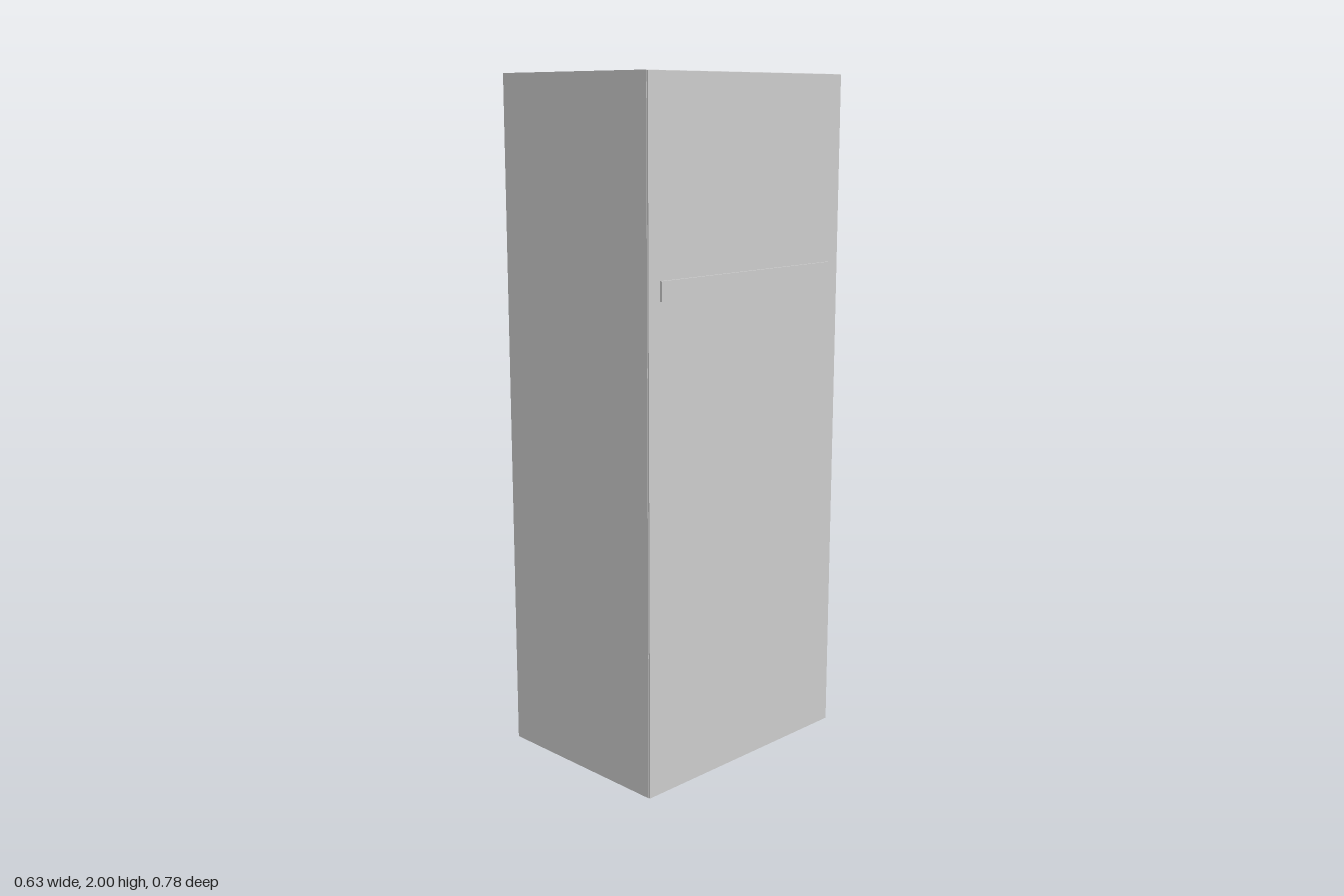
import * as THREE from 'three';

const grey = new THREE.MeshStandardMaterial({ color: 0xcccccc });
const FRONT = -0.283, BACK = 0.305, DOOR = -0.266; // planes across x

function add(parent, name, geometry) {
  const mesh = new THREE.Mesh(geometry, grey);
  mesh.name = name;
  parent.add(mesh);
  return mesh;
}

function box(parent, name, x0, x1, y0, y1, z0, z1) {
  const mesh = add(parent, name, new THREE.BoxGeometry(x1 - x0, y1 - y0, z1 - z0));
  mesh.position.set((x0 + x1) / 2, (y0 + y1) / 2, (z0 + z1) / 2);
  return mesh;
}

function rectangle(target, halfWidth, y0, y1) {
  target.moveTo(-halfWidth, y0);
  target.lineTo(halfWidth, y0);
  target.lineTo(halfWidth, y1);
  target.lineTo(-halfWidth, y1);
  target.closePath();
  return target;
}

export function createModel() {
  const locker = new THREE.Group();
  locker.name = 'locker';

  // Cabinet shell: a tube of sheet metal with a door opening, run along x
  const bevel = 0.004;
  const outline = rectangle(new THREE.Shape(), 0.39 - bevel, bevel, 2 - bevel);
  outline.holes.push(rectangle(new THREE.Path(), 0.342 + bevel, 0.05 - bevel, 1.95 + bevel));
  const shell = new THREE.ExtrudeGeometry(outline, {
    depth: BACK - FRONT - 2 * bevel, bevelSize: bevel, bevelThickness: bevel, bevelSegments: 1,
  });
  shell.rotateY(-Math.PI / 2);
  shell.translate(BACK - bevel, 0, 0);
  add(locker, 'cabinetShell', shell);

  // Back panel and wall rail
  box(locker, 'backPanel', BACK - 0.005, BACK + 0.001, 0.001, 1.999, -0.389, 0.389);
  box(locker, 'wallRail', BACK, 0.313, 1.405, 1.46, -0.347, 0.347);

  // Recessed door
  const door = new THREE.Group();
  door.name = 'door';
  locker.add(door);
  box(door, 'doorPanel', DOOR, DOOR + 0.02, 0.05, 1.95, -0.342, 0.342);

  // Three slanted vent louvers
  const profile = new THREE.Shape([
    [-0.303, 1.793], [DOOR + 0.002, 1.776], [DOOR + 0.002, 1.852], [-0.281, 1.838],
  ].map(([x, y]) => new THREE.Vector2(x, y)));
  const louver = new THREE.ExtrudeGeometry(profile, { depth: 0.53, bevelEnabled: false });
  louver.translate(0, 0, -0.265);
  for (let i = 0; i < 3; i++) add(door, 'ventLouver', louver).position.y = -0.057 * i;

  // Pull handle: rounded block with a finger hole, beveled all round
  const b = 0.008, top = 1.16 - b, bottom = 1.045 + b, outer = -0.315 + b, r = 0.012;
  const grip = new THREE.Shape();
  grip.moveTo(DOOR, bottom);
  grip.lineTo(DOOR, top);
  grip.lineTo(outer + r, top);
  grip.quadraticCurveTo(outer, top, outer, top - r);
  grip.lineTo(outer, bottom + r);
  grip.quadraticCurveTo(outer, bottom, outer + r, bottom);
  grip.closePath();
  const hole = new THREE.Path();
  hole.absellipse(-0.282, 1.102, 0.021, 0.035, 0, Math.PI * 2);
  grip.holes.push(hole);
  const handle = new THREE.ExtrudeGeometry(grip, {
    depth: 0.043 - 2 * b, bevelSize: b, bevelThickness: b, bevelSegments: 4, curveSegments: 10,
  });
  handle.translate(0, 0, -0.283 + b);
  add(door, 'handle', handle);

  return locker;
}
